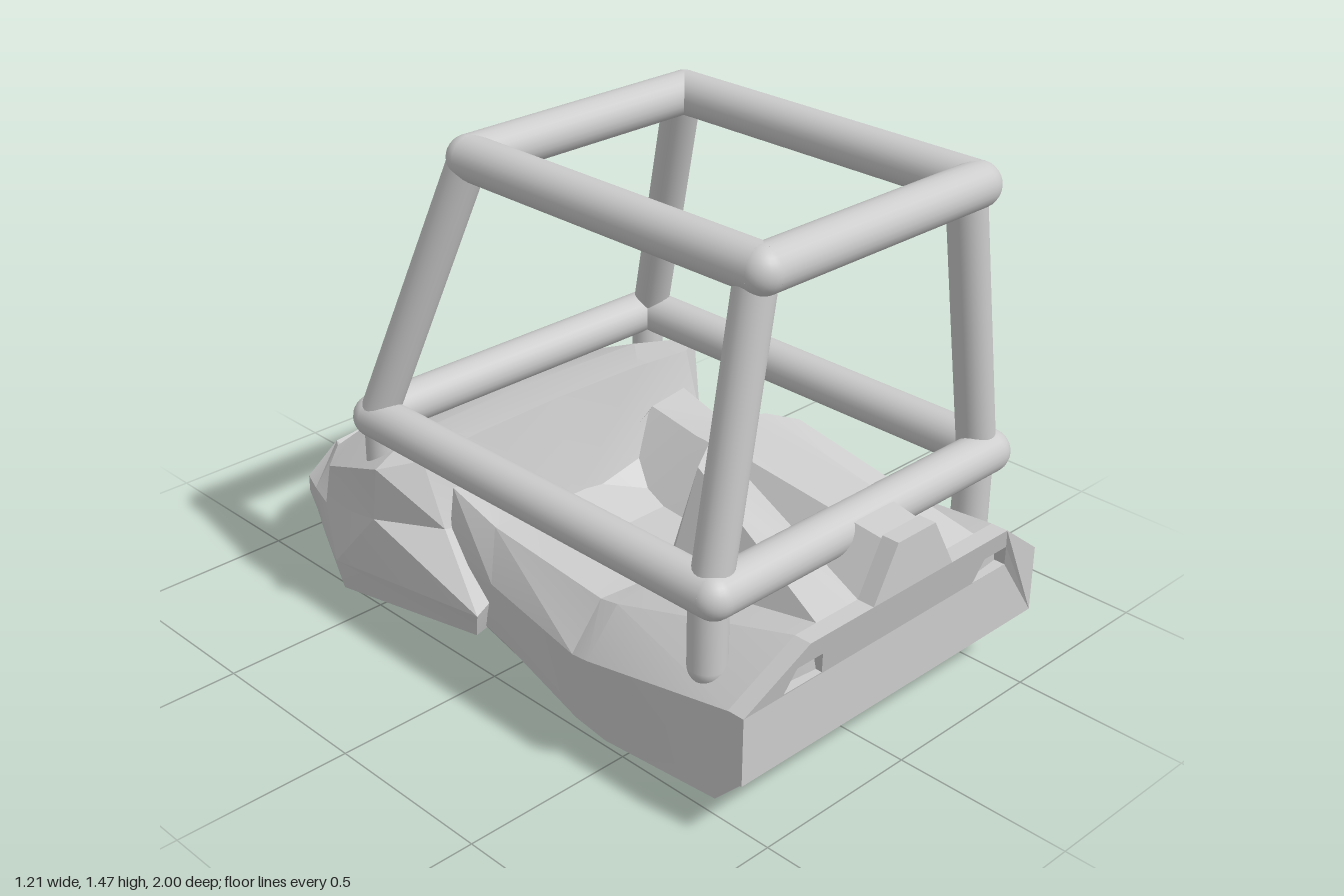
import * as THREE from 'three';
import { toCreasedNormals } from 'three/addons/utils/BufferGeometryUtils.js';

const material = new THREE.MeshStandardMaterial({ color: 0xcccccc });

function part(name, geometry) {
  const mesh = new THREE.Mesh(geometry, material);
  mesh.name = name;
  return mesh;
}

// Skins half cross-sections (bottom centre -> side -> top centre, front to back) and mirrors them.
// caps: centre points closing the ends; pit: [station, column, depth] sinks one panel to a point.
function loft(stations, { front, back, pit }) {
  const pos = [];
  const tri = (a, b, c) => {
    for (const p of [a, b, c]) pos.push(...p);
    for (const p of [a, c, b]) pos.push(-p[0], p[1], p[2]);
  };
  for (let i = 0; i < stations.length - 1; i++) {
    for (let j = 0; j < stations[i].length - 1; j++) {
      const q = [stations[i][j], stations[i + 1][j], stations[i + 1][j + 1], stations[i][j + 1]];
      if (pit && pit[0] === i && pit[1] === j) {
        const apex = [0, 1, 2].map(k => (q[0][k] + q[1][k] + q[2][k] + q[3][k]) / 4);
        apex[1] -= pit[2];
        q.forEach((p, k) => tri(p, q[(k + 1) % 4], apex));
      } else {
        tri(q[0], q[1], q[2]);
        tri(q[0], q[2], q[3]);
      }
    }
  }
  const first = stations[0], last = stations[stations.length - 1];
  for (let j = 0; j < first.length - 1; j++) {
    if (front) tri(front, first[j], first[j + 1]);
    if (back) tri(back, last[j + 1], last[j]);
  }
  const geometry = new THREE.BufferGeometry();
  geometry.setAttribute('position', new THREE.Float32BufferAttribute(pos, 3));
  geometry.computeVertexNormals();
  return toCreasedNormals(geometry, 0.3);
}

// Lower hull with the ridged nose and the open cockpit
function hull() {
  return part('hull', loft([
    [[0, .11, .88], [.56, .11, .88], [.56, .19, .96], [.56, .38, .92], [.375, .52, .95], [.3, .52, .95], [.15, .52, .95], [.07, .655, .95], [0, .655, .95]],
    [[0, .045, .53], [.48, .05, .53], [.56, .08, .5], [.575, .3, .45], [.47, .42, .45], [.3, .42, .45], [.19, .7, .45], [.1, .735, .41], [0, .745, .39]],
    [[0, .04, .38], [.47, .04, .38], [.55, .085, .38], [.56, .28, .38], [.46, .4, .38], [.33, .39, .38], [.2, .2, .3], [.1, .2, .3], [0, .2, .3]],
    [[0, .05, .08], [.45, .05, .08], [.5, .13, .05], [.5, .29, .0], [.44, .42, -.05], [.33, .41, -.06], [.21, .22, -.07], [.1, .22, -.07], [0, .22, -.07]],
    [[0, .11, -.1], [.45, .11, -.1], [.47, .14, -.15], [.48, .3, -.2], [.44, .47, -.22], [.33, .44, -.24], [.23, .3, -.28], [.1, .3, -.28], [0, .3, -.28]],
  ], { front: [0, .19, .96], back: [0, .2, -.25] }));
}

// Rear deck: flared side wings, sloping top and two sunken pockets
function rearCowl() {
  return part('rearCowl', loft([
    [[0, .11, -.07], [.45, .11, -.07], [.54, .14, -.02], [.56, .22, .01], [.49, .37, -.2], [.5, .555, -.27], [.3, .57, -.27], [0, .57, -.28]],
    [[0, .03, -.5], [.45, .035, -.5], [.59, .08, -.54], [.605, .17, -.55], [.585, .36, -.39], [.605, .54, -.34], [.43, .55, -.42], [0, .55, -.44]],
    [[0, .015, -.68], [.4, .02, -.68], [.53, .09, -.66], [.55, .19, -.68], [.55, .29, -.66], [.53, .4, -.66], [.36, .455, -.67], [0, .46, -.67]],
    [[0, .005, -.78], [.3, .01, -.78], [.47, .09, -.74], [.5, .2, -.78], [.5, .27, -.78], [.4, .365, -.8], [.32, .385, -.8], [0, .4, -.78]],
    [[0, 0, -.82], [.15, 0, -.82], [.4, .1, -.82], [.46, .21, -.87], [.46, .26, -.87], [.34, .325, -.89], [.2, .3, -.945], [0, .345, -.87]],
    [[0, 0, -.82], [.13, 0, -.82], [.15, .1, -.91], [.17, .21, -1], [.17, .26, -1], [.15, .26, -1], [.1, .26, -1], [0, .26, -1]],
  ], { front: [0, .25, -.22], back: [0, .21, -1], pit: [3, 5, .06] }));
}

// Upright nose plate with a raised middle and two vents
function nosePlate() {
  const half = [[.56, .19], [.56, .38], [.375, .52], [.15, .52], [.07, .665]];
  const mirrored = [...half].reverse().map(([x, y]) => [-x, y]);
  const toVectors = pts => pts.map(([x, y]) => new THREE.Vector2(x, y));
  const shape = new THREE.Shape(toVectors([...half, ...mirrored]));
  for (const s of [1, -1]) {
    const vent = [[.29, .385], [.425, .385], [.4, .455], [.31, .455]];
    shape.holes.push(new THREE.Path(toVectors(vent.map(([x, y]) => [s * x, y]))));
  }
  const geometry = new THREE.ExtrudeGeometry(shape, { depth: .05, bevelEnabled: false });
  const p = geometry.attributes.position;
  // Lean the upper part forward
  for (let i = 0; i < p.count; i++) {
    p.setZ(i, p.getZ(i) + .915 + .035 * THREE.MathUtils.clamp((p.getY(i) - .38) / .14, 0, 1));
  }
  geometry.computeVertexNormals();
  return part('nosePlate', geometry);
}

function rod(name, a, b, radius) {
  const from = new THREE.Vector3(...a), to = new THREE.Vector3(...b);
  const dir = to.clone().sub(from);
  const mesh = part(name, new THREE.CylinderGeometry(radius, radius, dir.length(), 24, 1));
  mesh.position.copy(from).add(to).multiplyScalar(.5);
  mesh.quaternion.setFromUnitVectors(new THREE.Vector3(0, 1, 0), dir.normalize());
  return mesh;
}

function ball(name, at, radius) {
  const mesh = part(name, new THREE.SphereGeometry(radius, 24, 16));
  mesh.position.set(...at);
  return mesh;
}

// Rectangular tube frame with round corners
function ring(name, x, y, zFront, zBack) {
  const group = new THREE.Group();
  group.name = name;
  const corners = [[x, y, zFront], [-x, y, zFront], [-x, y, zBack], [x, y, zBack]];
  corners.forEach((c, i) => {
    group.add(rod('rail', c, corners[(i + 1) % 4], .06), ball('railCorner', c, .06));
  });
  return group;
}

function rollCage() {
  const cage = new THREE.Group();
  cage.name = 'rollCage';
  cage.add(ring('roofFrame', .38, 1.405, .82, -.175), ring('waistFrame', .515, .63, .82, -.45));
  for (const s of [1, -1]) {
    const foot = [s * .5, .42, .79], rearFoot = [s * .505, .5, -.44];
    cage.add(
      rod('frontPost', [s * .37, 1.4, .795], [s * .5, .63, .795], .052),
      rod('frontLeg', [s * .5, .63, .79], foot, .05),
      ball('frontFoot', foot, .05),
      rod('rearPost', [s * .38, 1.4, -.18], [s * .515, .63, -.44], .052),
      rod('rearLeg', [s * .505, .63, -.44], rearFoot, .045),
    );
  }
  return cage;
}

export function createModel() {
  const model = new THREE.Group();
  model.name = 'buggyBody';
  model.add(hull(), rearCowl(), nosePlate(), rollCage());
  return model;
}
